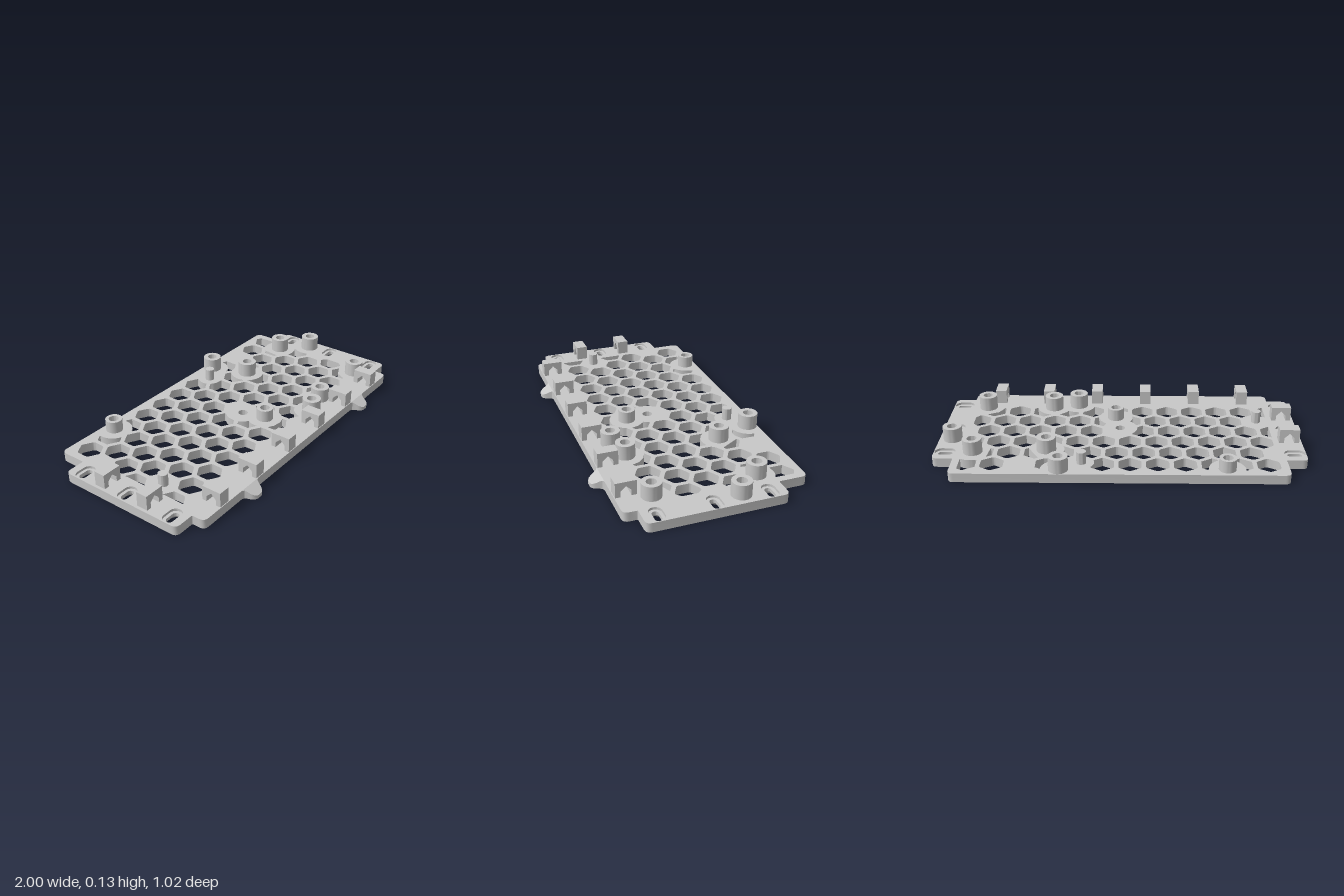
import * as THREE from 'three';
import { toCreasedNormals } from 'three/addons/utils/BufferGeometryUtils.js';

const TOP = 0.051, TALL = 0.131, SHORT = 0.118;
const BORE = 0.027;
const V = (x, z) => new THREE.Vector2(x, z);

// Hollow posts: x, z, radius, top
const POSTS = [
  [-0.561, -0.445, 0.046, SHORT], [0.316, -0.458, 0.052, TALL], [0.396, -0.248, 0.053, TALL],
  [0.791, -0.273, 0.052, TALL], [0.925, -0.129, 0.052, TALL], [0.027, 0.147, 0.046, SHORT],
  [0.251, 0.312, 0.052, TALL], [0.396, 0.277, 0.052, TALL], [0.791, 0.277, 0.052, TALL],
];
const PINS = [[0.2, -0.386], [-0.781, 0.106]];
const CENTRE = [0, 0.015];
const SLOT_Z = [-0.275, 0.014, 0.304];

// Solid discs that the honeycomb must leave free: x, z, radius
const KEEP = [
  ...POSTS.map(([x, z]) => [x, z, 0.097]),
  ...PINS.map(([x, z]) => [x, z, 0.068]),
  [...CENTRE, 0.097],
];
// Cells left solid, as row,column
const SOLID_CELLS = ['0,7', '0,9', '1,0', '3,6', '4,0'];

// Extrude an outline given in x, z upward from y0 to y1; holes run the opposite way round
function slab(outline, holes, y0, y1) {
  const flip = (pts) => pts.map((p) => V(p.x, -p.y));
  const shape = new THREE.Shape(flip(outline));
  shape.holes = holes.map((h) => new THREE.Path(flip(h).reverse()));
  const geo = new THREE.ExtrudeGeometry(shape, { depth: y1 - y0, bevelEnabled: false });
  return geo.rotateX(-Math.PI / 2).translate(0, y0, 0);
}

function stadium(x, z, halfL, halfW, n = 24) {
  return Array.from({ length: n }, (_, i) => {
    const a = ((i + 0.5) / n) * Math.PI * 2;
    return V(x + Math.sign(Math.cos(a)) * (halfL - halfW) + halfW * Math.cos(a), z + halfW * Math.sin(a));
  });
}
const circle = (x, z, r, n = 32) => stadium(x, z, r, r, n);

// Polygon with rounded corners; each corner is [x, z, radius]
function rounded(corners) {
  return corners.flatMap(([x, z, r], i) => {
    const c = V(x, z), n = corners.length;
    const toward = (k) => {
      const [a, b] = corners[(k + n) % n];
      return c.clone().add(V(a, b).sub(c).setLength(r));
    };
    return new THREE.QuadraticBezierCurve(toward(i - 1), c, toward(i + 1)).getPoints(5);
  });
}

// One honeycomb opening, trimmed by the side margins and the solid discs
function hexHole(cx, cz) {
  const R = 0.07, LIMIT = 0.845, STEPS = 10;
  const corners = Array.from({ length: 6 }, (_, i) => {
    const a = Math.PI / 6 + (i * Math.PI) / 3;
    return V(cx + R * Math.cos(a), cz + R * Math.sin(a));
  });
  const inside = (p) => corners.every((c, i) => {
    const d = corners[(i + 1) % 6];
    return (d.x - c.x) * (p.y - c.y) - (d.y - c.y) * (p.x - c.x) > -1e-6;
  });
  let pts = corners.flatMap((c, i) =>
    Array.from({ length: STEPS }, (_, k) => c.clone().lerp(corners[(i + 1) % 6], k / STEPS)));
  let trimmed = false;
  for (const [x, z, r] of KEEP) {
    const o = V(x, z);
    pts = pts.map((p) => {
      const d = p.clone().sub(o);
      if (d.length() >= r) return p;
      trimmed = true;
      return o.clone().add(d.setLength(r));
    }).filter(inside);
  }
  if (!trimmed) pts = rounded(corners.map((c) => [c.x, c.y, 0.012]));
  pts = pts.map((p) => V(THREE.MathUtils.clamp(p.x, -LIMIT, LIMIT), p.y));
  pts = pts.filter((p, i) => p.distanceTo(pts[(i + 1) % pts.length]) > 0.001);
  return pts.length > 2 && Math.abs(THREE.ShapeUtils.area(pts)) > 0.0012 ? pts : null;
}

function honeycomb() {
  const holes = [], pitch = 0.145;
  for (let row = 0; row < 6; row++) {
    for (let k = 0; k < 12; k++) {
      if (SOLID_CELLS.includes(`${row},${k}`)) continue;
      const hole = hexHole(-0.781 + pitch * (k - (row % 2) * 0.5), -0.404 + row * 0.1257);
      if (hole) holes.push(hole);
    }
  }
  return holes;
}

// Lining of a strap slot: countersunk below, flat recess above
function slotLining() {
  const n = 24, pos = [], index = [];
  const levels = [
    [0, 0.056, 0.035], [0.02, 0.039, 0.018], [0.038, 0.039, 0.018], [0.038, 0.056, 0.035], [TOP, 0.056, 0.035],
  ];
  levels.forEach(([y, l, w], s) => {
    stadium(0, 0, l, w, n).forEach((p, j) => {
      pos.push(p.x, y, p.y);
      if (s === levels.length - 1) return;
      const a = s * n + j, b = s * n + ((j + 1) % n);
      index.push(a, b, a + n, b, b + n, a + n);
    });
  });
  const geo = new THREE.BufferGeometry();
  geo.setAttribute('position', new THREE.Float32BufferAttribute(pos, 3));
  geo.setIndex(index);
  return geo;
}

// Block with a house-shaped tunnel running along x
function clipBlock() {
  const s = new THREE.Shape([
    [-0.055, TOP], [-0.028, TOP], [-0.028, 0.081], [0, 0.108], [0.028, 0.081],
    [0.028, TOP], [0.055, TOP], [0.055, TALL], [-0.055, TALL],
  ].map(([x, y]) => V(x, y)));
  return new THREE.ExtrudeGeometry(s, { depth: 0.064, bevelEnabled: false })
    .translate(0, 0, -0.032).rotateY(Math.PI / 2);
}

// Bell-shaped front tab with a top sloping down to the front
function frontTab() {
  const half = [[0.068, 0], [0.055, 0.006], [0.047, 0.02], [0.041, 0.038], [0.03, 0.053], [0.015, 0.06]];
  const outline = [...half.map(([x, z]) => V(-x, z)), ...half.reverse().map(([x, z]) => V(x, z))];
  const geo = slab(outline, [], 0, TOP), p = geo.attributes.position;
  for (let i = 0; i < p.count; i++) {
    if (p.getY(i) > 0.01) p.setY(i, TOP - p.getZ(i) * 0.52);
  }
  return geo;
}

export function createModel() {
  const group = new THREE.Group();
  const grey = new THREE.MeshStandardMaterial({ color: 0xc8c8c8 });
  grey.name = 'grey plastic';
  const add = (name, geo, x = 0, z = 0) => {
    const mesh = new THREE.Mesh(toCreasedNormals(geo, 0.6), grey);
    mesh.name = name;
    mesh.position.set(x, 0, z);
    group.add(mesh);
  };

  // Perforated base plate with stepped ends
  const r = 0.032, q = 0.006;
  const outline = rounded([
    [-0.885, -0.51, r], [0.885, -0.51, r], [0.885, -0.353, q], [1, -0.353, r],
    [1, 0.377, r], [0.885, 0.377, q], [0.885, 0.45, r], [-0.885, 0.45, r],
    [-0.885, 0.377, q], [-1, 0.377, r], [-1, -0.353, r], [-0.885, -0.353, q],
  ]);
  const slots = [-0.94, 0.94].flatMap((x) => SLOT_Z.map((z) => [x, z]));
  add('basePlate', slab(outline, [
    ...honeycomb(),
    ...POSTS.map(([x, z]) => circle(x, z, BORE)),
    circle(...CENTRE, BORE),
    ...slots.map(([x, z]) => stadium(x, z, 0.056, 0.035)),
  ], 0, TOP));
  for (const [x, z] of slots) add('strapSlot', slotLining(), x, z);

  // Screw posts and locating pins
  for (const [x, z, rad, top] of POSTS) {
    add('screwPost', slab(circle(0, 0, rad), [circle(0, 0, BORE)], TOP, top), x, z);
  }
  for (const [x, z] of PINS) add('locatingPin', slab(circle(0, 0, 0.026), [], TOP, SHORT), x, z);

  // Cable clips along the front edge and the right end
  for (let i = 0; i < 6; i++) add('frontCableClip', clipBlock(), -0.727 + i * 0.29, 0.391);
  for (const z of [-0.126, 0.153]) add('sideCableClip', clipBlock().rotateY(Math.PI / 2), -0.929, z);

  // Front tabs
  for (const x of [-0.527, 0.527]) add('frontTab', frontTab(), x, 0.45);
  return group;
}
